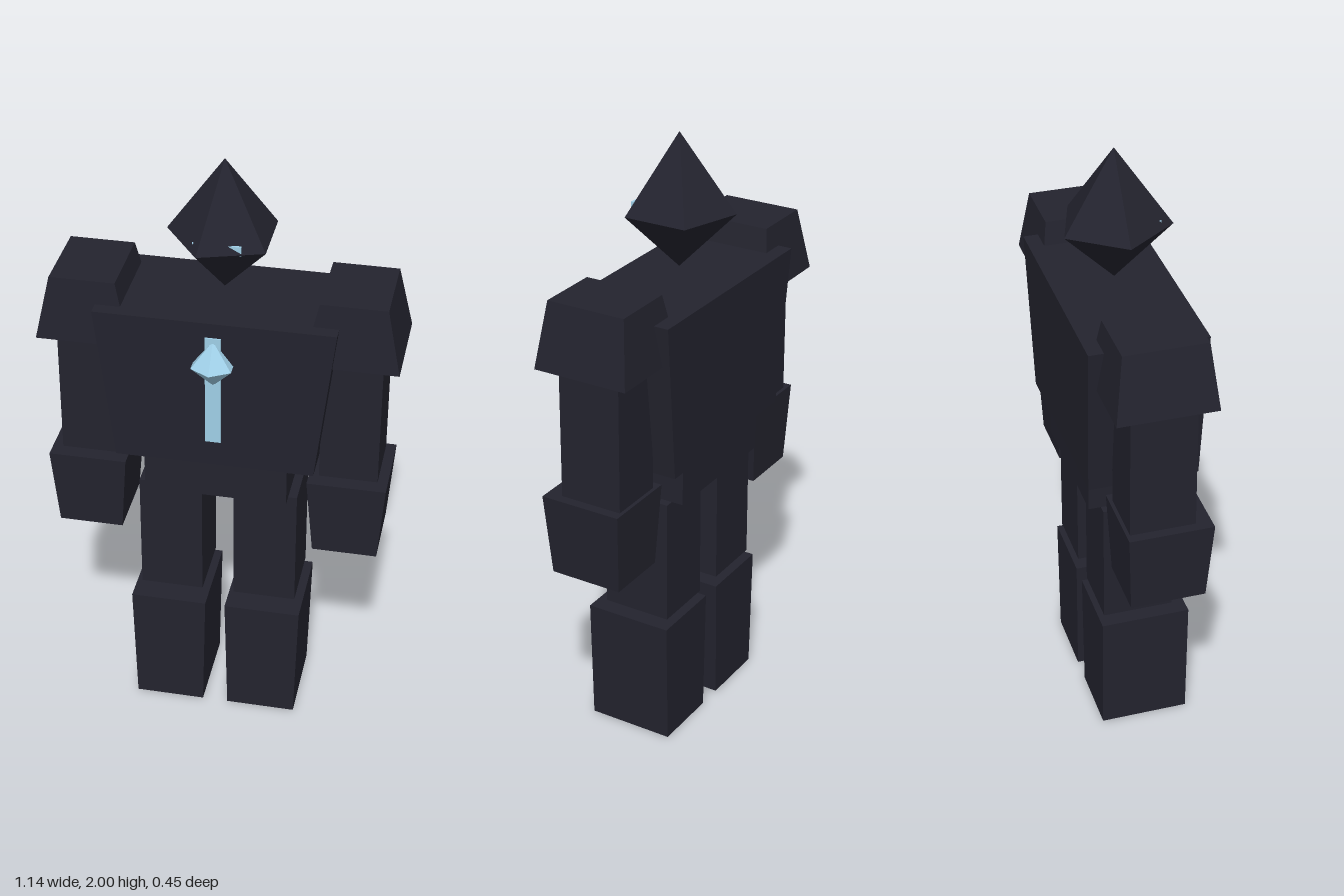
import * as THREE from 'three';

const stone = new THREE.MeshStandardMaterial({ color: 0x23232e, flatShading: true });
stone.name = 'darkStone';
const glow = new THREE.MeshStandardMaterial({ color: 0xa0d0e8, flatShading: true });
glow.name = 'paleBlueGlow';

// Tapered block between y0 and y1; bottom and top are [xMin, xMax, zMin, zMax]
function block(name, y0, y1, bottom, top = bottom, material = stone) {
  const geometry = new THREE.BoxGeometry(1, 1, 1);
  const p = geometry.attributes.position;
  for (let i = 0; i < p.count; i++) {
    const up = p.getY(i) > 0;
    const r = up ? top : bottom;
    p.setXYZ(i, p.getX(i) > 0 ? r[1] : r[0], up ? y1 : y0, p.getZ(i) > 0 ? r[3] : r[2]);
  }
  geometry.computeVertexNormals();
  const mesh = new THREE.Mesh(geometry, material);
  mesh.name = name;
  return mesh;
}

// Double pyramid with its widest ring at yMid
function crystal(name, radius, sides, yLow, yMid, yHigh, z, phi, material) {
  const profile = [[0, yLow], [radius, yMid], [0, yHigh]].map(([x, y]) => new THREE.Vector2(x, y));
  const mesh = new THREE.Mesh(new THREE.LatheGeometry(profile, sides, phi), material);
  mesh.position.z = z;
  mesh.name = name;
  return mesh;
}

export function createModel() {
  const model = new THREE.Group();
  model.name = 'golem';

  // Head and body
  model.add(
    crystal('head', 0.18, 5, 1.565, 1.75, 2, -0.035, -Math.PI / 2, stone),
    block('torso', 1.01, 1.535, [-0.32, 0.32, -0.215, 0.143], [-0.38, 0.38, -0.227, 0.15]),
    block('pelvis', 0.87, 1.02, [-0.232, 0.232, -0.19, 0.12])
  );

  // Glowing chest stripe and gem
  model.add(
    block('chestStripe', 1.105, 1.485, [-0.025, 0.025, 0.147, 0.155], undefined, glow),
    crystal('chestGem', 0.073, 6, 1.315, 1.39, 1.475, 0.15, 0, glow)
  );

  // Paired parts, given for the +x side and mirrored
  for (const side of [1, -1]) {
    const prefix = side > 0 ? 'left' : 'right';
    const flip = (r) => (side > 0 ? r : [-r[1], -r[0], r[2], r[3]]);
    const add = (name, y0, y1, bottom, top = bottom, material = stone) =>
      model.add(block(prefix + name, y0, y1, flip(bottom), flip(top), material));

    add('Eye', 1.745, 1.775, [0.015, 0.075, 0.084, 0.092], undefined, glow);
    add('Shoulder', 1.4, 1.61, [0.27, 0.571, -0.198, 0.12], [0.317, 0.526, -0.168, 0.097]);
    add('UpperArm', 0.95, 1.38, [0.328, 0.517, -0.14, 0.07]);
    add('Forearm', 0.69, 0.962, [0.318, 0.529, -0.14, 0.103], [0.296, 0.55, -0.152, 0.121]);
    add('Thigh', 0.45, 0.87, [0.053, 0.261, -0.15, 0.081]);
    add('LowerLeg', 0, 0.425, [0.043, 0.274, -0.16, 0.132], [0.033, 0.285, -0.162, 0.133]);
  }
  return model;
}
